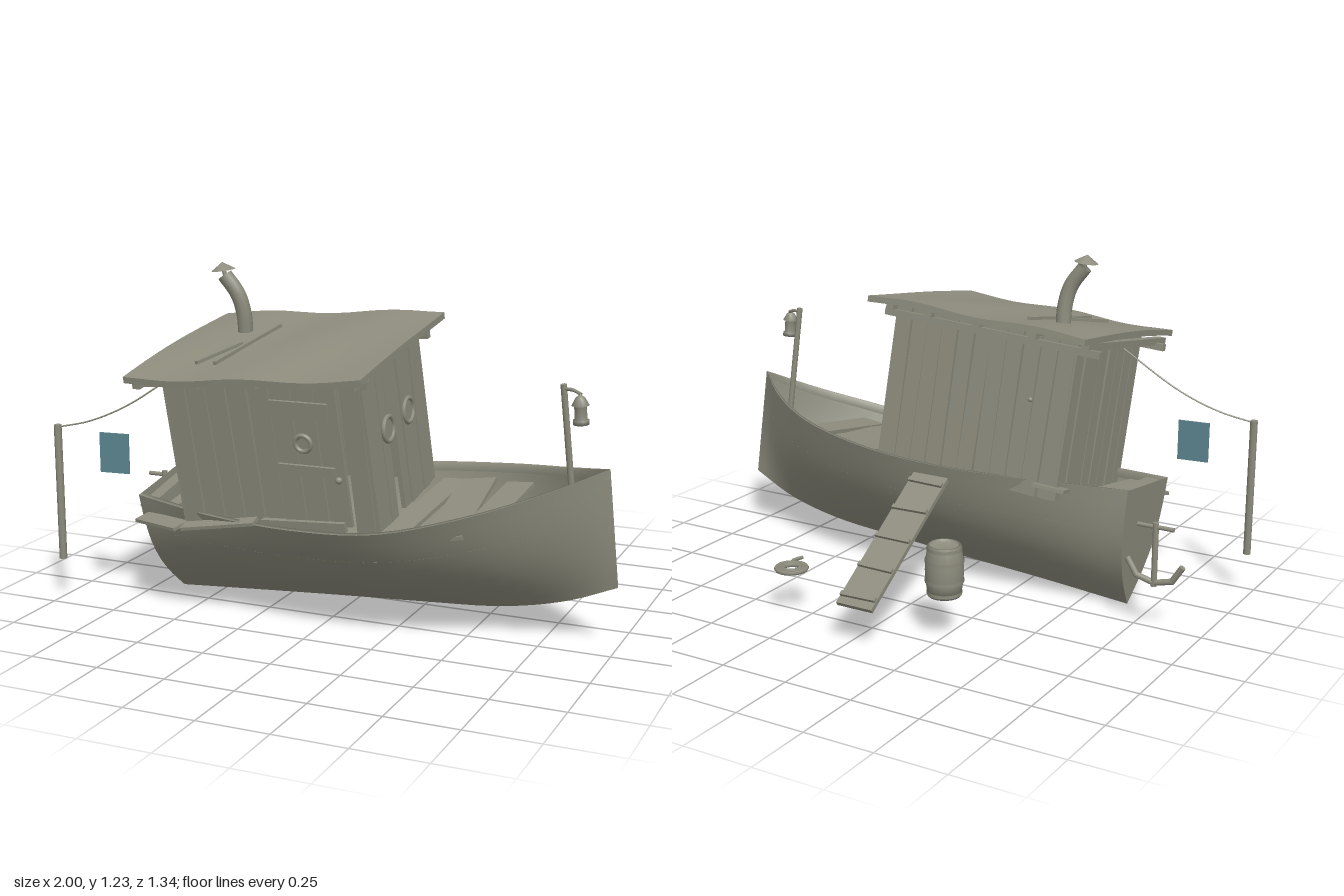
import * as THREE from 'three';

const V = (x, y, z) => new THREE.Vector3(x, y, z);

export function createModel() {
  const wood = new THREE.MeshStandardMaterial({ color: 0x8d8c7d, side: THREE.DoubleSide });
  wood.name = 'weathered grey';
  const teal = new THREE.MeshStandardMaterial({ color: 0x5c8590, side: THREE.DoubleSide });
  teal.name = 'teal cloth';
  const model = new THREE.Group();

  let seed = 7;
  const jitter = (a) => {
    seed = (seed * 16807) % 2147483647;
    return (seed / 2147483647 - 0.5) * 2 * a;
  };
  const add = (parent, name, geo, pos = [0, 0, 0], rot = [0, 0, 0], mat = wood) => {
    const m = new THREE.Mesh(geo, mat);
    m.name = name;
    m.position.set(...pos);
    m.rotation.set(...rot);
    parent.add(m);
    return m;
  };
  const box = (parent, name, size, pos, rot) => add(parent, name, new THREE.BoxGeometry(...size), pos, rot);
  const group = (parent, name, pos, rot = [0, 0, 0]) => {
    const g = new THREE.Group();
    g.name = name;
    g.position.set(...pos);
    g.rotation.set(...rot);
    parent.add(g);
    return g;
  };
  const tube = (parent, name, pts, r, sides = 8, seg = 16) =>
    add(parent, name, new THREE.TubeGeometry(new THREE.CatmullRomCurve3(pts), seg, r, sides));
  // straight rod between two points
  const rod = (parent, name, a, b, r, sides = 8) => {
    const m = add(parent, name, new THREE.CylinderGeometry(r, r, a.distanceTo(b), sides));
    m.position.copy(a).add(b).multiplyScalar(0.5);
    m.quaternion.setFromUnitVectors(V(0, 1, 0), b.clone().sub(a).normalize());
    return m;
  };
  // surface through rows of points
  const loft = (parent, name, rows) => {
    const n = rows[0].length, index = [];
    for (let i = 0; i < rows.length - 1; i++) for (let j = 0; j < n - 1; j++) {
      const a = i * n + j, b = a + n;
      index.push(a, a + 1, b, b, a + 1, b + 1);
    }
    const g = new THREE.BufferGeometry().setFromPoints(rows.flat());
    g.setIndex(index);
    g.computeVertexNormals();
    return add(parent, name, g);
  };

  // Hull: two gunwales and a keel, tilted in roll and pitch
  const hull = group(model, 'hull', [0, 0, 0]);
  const line = (pts) => new THREE.CatmullRomCurve3(pts.map((p) => V(...p)), false, 'centripetal');
  const nearEdge = line([[-0.69, 0.41, 0.40], [-0.35, 0.39, 0.48], [-0.02, 0.39, 0.53], [0.28, 0.415, 0.54],
    [0.57, 0.485, 0.46], [0.8, 0.56, 0.33], [0.97, 0.63, 0.22]]);
  const farEdge = line([[-0.70, 0.465, 0.03], [-0.35, 0.475, -0.06], [0, 0.485, -0.115], [0.28, 0.51, -0.125],
    [0.57, 0.545, -0.06], [0.8, 0.585, 0.07], [0.97, 0.63, 0.22]]);
  const keel = line([[-0.66, 0.003, 0.145], [-0.33, 0.028, 0.15], [0, 0.05, 0.15], [0.3, 0.07, 0.155],
    [0.6, 0.095, 0.16], [0.82, 0.145, 0.165], [1.0, 0.22, 0.18]]);
  const sidePoint = (edge, s, t) => {
    const p = keel.getPoint(s).lerp(edge.getPoint(s), t);
    const bulge = 0.055 * Math.sin(Math.PI * t) * (1 - s ** 4);
    return p.add(V(0, -0.45 * bulge, (edge === nearEdge ? 0.85 : -0.85) * bulge));
  };
  const N = 28, M = 10;
  const stations = Array.from({ length: N + 1 }, (_, i) => i / N);
  const steps = Array.from({ length: M + 1 }, (_, j) => j / M);
  const section = (s) => [...steps].reverse().map((t) => sidePoint(nearEdge, s, t));
  loft(hull, 'nearSide', stations.map(section));
  loft(hull, 'farSide', stations.map((s) => steps.map((t) => sidePoint(farEdge, s, t))));
  loft(hull, 'transom', steps.map((t) => [sidePoint(nearEdge, 0, t), sidePoint(farEdge, 0, t)]));
  loft(hull, 'deck', stations.map((s) => [sidePoint(nearEdge, s, 0.72), sidePoint(farEdge, s, 0.72)]));
  for (const [edge, dir] of [[nearEdge, -1], [farEdge, 1]]) {
    loft(hull, 'gunwale', stations.map((s) => {
      const p = edge.getPoint(s), w = dir * 0.02 * (1 - s ** 6);
      return [p, p.clone().add(V(0, -w * 0.16, w)), p.clone().add(V(0, -0.03, w))];
    }));
  }
  // loose deck boards and seats
  box(hull, 'bowSeat', [0.10, 0.015, 0.40], [0.59, 0.46, 0.20], [0.15, -0.06, 0.1]);
  box(hull, 'deckBoard', [0.13, 0.015, 0.50], [0.46, 0.44, 0.21], [0.15, 0.1, 0.12]);
  box(hull, 'deckBoard', [0.09, 0.015, 0.50], [0.33, 0.43, 0.21], [0.15, -0.08, 0.07]);
  box(hull, 'sternSeat', [0.05, 0.015, 0.36], [-0.65, 0.42, 0.21], [0.15, 0.06, 0.1]);
  box(hull, 'sternBoard', [0.05, 0.015, 0.38], [-0.56, 0.40, 0.21], [0.15, -0.05, 0.07]);
  box(hull, 'brokenPlank', [0.20, 0.012, 0.07], [-0.57, 0.34, 0.45], [0.2, -0.3, 0.08]);
  box(hull, 'brokenPlank', [0.28, 0.012, 0.05], [-0.32, 0.37, 0.49], [0.2, 0.06, 0.16]);
  box(hull, 'brokenPlank', [0.12, 0.012, 0.06], [-0.45, 0.46, -0.06], [0.2, 0.1, 0.07]);

  // Cabin: plank walls leaning with the hull
  const cabin = group(model, 'cabin', [-0.105, 0.43, 0.2], [0.15, 0, 0.07]);
  const wall = (name, pos, turn, from, to, count, height, broken = -1) => {
    const g = group(cabin, name, pos, [0, turn, 0]);
    const w = (to - from) / count;
    for (let i = 0; i < count; i++) {
      const h = i === broken ? 0.2 : height + jitter(0.012);
      const y = i === broken ? height - 0.16 : h / 2 - 0.03;
      box(g, 'plank', [w * 0.93, h, 0.016], [from + w * (i + 0.5), y, jitter(0.004)], [0, 0, jitter(0.014)]);
    }
  };
  wall('frontWall', [0, 0, 0.255], 0, -0.36, 0.03, 5, 0.54);
  wall('frontCornerWall', [0, 0, 0.255], 0, 0.29, 0.36, 1, 0.54);
  wall('backWall', [0, 0, -0.255], Math.PI, -0.36, 0.36, 11, 0.56);
  wall('bowWall', [0.36, 0, 0], Math.PI / 2, -0.26, 0.26, 9, 0.56, 3);
  wall('sternWall', [-0.36, 0, 0], -Math.PI / 2, -0.26, 0.26, 8, 0.56);
  for (const x of [-0.345, 0.345]) for (const z of [-0.24, 0.24])
    box(cabin, 'cornerPost', [0.022, 0.56, 0.022], [x, 0.25, z]);

  // Door with straps and knob
  const door = group(cabin, 'door', [0.155, 0.25, 0.262]);
  for (let i = 0; i < 3; i++)
    box(door, 'doorBoard', [0.078, 0.51 + jitter(0.01), 0.016], [(i - 1) * 0.082, 0, 0], [0, 0, jitter(0.008)]);
  box(door, 'upperStrap', [0.21, 0.06, 0.012], [-0.015, 0.16, 0.013], [0, 0, -0.06]);
  box(door, 'lowerStrap', [0.21, 0.035, 0.012], [-0.015, -0.05, 0.013], [0, 0, -0.06]);
  add(door, 'knob', new THREE.SphereGeometry(0.012, 10, 8), [0.1, -0.08, 0.018]);
  box(cabin, 'doorStep', [0.31, 0.035, 0.02], [0.1, 0.0, 0.275]);

  // Portholes
  const porthole = (parent, pos, turn, r) => {
    const g = group(parent, 'porthole', pos, [0, turn, 0]);
    add(g, 'frame', new THREE.TorusGeometry(r, 0.008, 8, 24));
    add(g, 'pane', new THREE.CircleGeometry(r, 24));
  };
  porthole(cabin, [0.14, 0.295, 0.275], 0, 0.028);
  porthole(cabin, [0.373, 0.288, 0.10], Math.PI / 2, 0.042);
  porthole(cabin, [0.373, 0.29, -0.08], Math.PI / 2, 0.042);
  porthole(cabin, [-0.22, 0.30, -0.266], 0, 0.001);

  // Roof: rafters, eave beams and a slightly warped sheet
  for (const x of [-0.41, -0.2, 0.02, 0.22, 0.375])
    box(cabin, 'rafter', [0.03, 0.025, 0.64], [x, 0.518, 0.03], [0.01, jitter(0.02), 0]);
  for (const z of [-0.27, 0.27]) box(cabin, 'eaveBeam', [0.86, 0.025, 0.025], [-0.03, 0.5, z]);
  const roofGeo = new THREE.BoxGeometry(0.865, 0.022, 0.745, 14, 1, 10);
  const rp = roofGeo.attributes.position;
  for (let i = 0; i < rp.count; i++) {
    const x = rp.getX(i), z = rp.getZ(i);
    rp.setY(i, rp.getY(i) + 0.006 * Math.sin(x * 13 + z * 4) + 0.006 * Math.cos(z * 5));
    rp.setZ(i, z + (z > 0.3 ? 0.012 * (1 - (x / 0.43) ** 2) : 0));
  }
  roofGeo.computeVertexNormals();
  const roof = group(model, 'roof', [-0.147, 0.966, 0.292], [0.16, 0, 0.068]);
  add(roof, 'roofSheet', roofGeo);
  box(roof, 'roofPatch', [0.012, 0.012, 0.42], [-0.14, 0.016, 0.02], [0, -0.1, 0]);
  box(roof, 'roofPatch', [0.012, 0.012, 0.22], [-0.2, 0.016, 0.12], [0, -0.3, 0]);

  // Chimney
  const chimney = group(model, 'chimney', [0, 0, 0]);
  tube(chimney, 'pipe', [V(-0.37, 0.95, 0.17), V(-0.372, 1.05, 0.18), V(-0.39, 1.12, 0.19), V(-0.435, 1.185, 0.2)], 0.027, 10);
  rod(chimney, 'capStem', V(-0.43, 1.17, 0.2), V(-0.442, 1.22, 0.2), 0.008);
  add(chimney, 'cap', new THREE.ConeGeometry(0.043, 0.028, 12), [-0.442, 1.216, 0.2], [0.05, 0, 0.12]);

  // Bow lantern on a post
  const lantern = group(model, 'bowLantern', [0, 0, 0]);
  rod(lantern, 'post', V(0.842, 0.5, 0.2), V(0.81, 0.9, 0.235), 0.011);
  tube(lantern, 'bracket', [V(0.81, 0.885, 0.235), V(0.845, 0.885, 0.245), V(0.875, 0.875, 0.255)], 0.006, 6);
  add(lantern, 'lamp', new THREE.LatheGeometry([[0, 0], [0.027, 0], [0.027, 0.015], [0.021, 0.018], [0.021, 0.06],
    [0.029, 0.063], [0.016, 0.088], [0.006, 0.095], [0, 0.1]].map((p) => new THREE.Vector2(...p)), 12),
    [0.878, 0.778, 0.257], [0.05, 0, 0.05]);

  // Mooring pole, line and hanging cloth
  rod(model, 'mooringPole', V(-0.983, 0.155, 0.455), V(-0.983, 0.652, 0.455), 0.014);
  tube(model, 'mooringLine', [V(-0.975, 0.645, 0.455), V(-0.86, 0.672, 0.435), V(-0.72, 0.735, 0.405), V(-0.5, 0.885, 0.36)], 0.003, 5, 24);
  add(model, 'cloth', new THREE.BoxGeometry(0.113, 0.145, 0.005), [-0.778, 0.557, 0.41], [0, 0.1, 0], teal);

  // Anchor
  const anchor = group(model, 'anchor', [-0.827, 0, -0.015]);
  rod(anchor, 'shank', V(0, 0.16, 0), V(0, 0.388, 0), 0.011);
  rod(anchor, 'stock', V(-0.066, 0.373, 0), V(0.066, 0.373, 0), 0.008);
  for (const s of [-1, 1]) {
    rod(anchor, 'innerArm', V(0, 0.172, 0), V(s * 0.068, 0.19, 0), 0.011);
    rod(anchor, 'outerArm', V(s * 0.064, 0.187, 0), V(s * 0.102, 0.247, 0), 0.011);
  }

  // Barrel
  const barrel = group(model, 'barrel', [-0.25, 0.155, -0.435]);
  add(barrel, 'staves', new THREE.LatheGeometry([[0, 0], [0.056, 0], [0.063, 0.045], [0.066, 0.09], [0.063, 0.135],
    [0.056, 0.18], [0.05, 0.18], [0.05, 0.168], [0, 0.168]].map((p) => new THREE.Vector2(...p)), 18));
  for (const [y, r] of [[0.012, 0.06], [0.055, 0.067], [0.125, 0.067], [0.168, 0.06]])
    add(barrel, 'hoop', new THREE.CylinderGeometry(r, r, 0.012, 18, 1, true), [0, y, 0]);

  // Coiled rope
  const coil = group(model, 'ropeCoil', [0.325, 0.163, -0.515]);
  for (const r of [0.03, 0.042, 0.053])
    add(coil, 'loop', new THREE.TorusGeometry(r, 0.008, 6, 24), [0, 0, 0], [Math.PI / 2, 0, 0]);
  tube(coil, 'ropeEnd', [V(0.03, 0, 0.04), V(0.038, 0, 0.07), V(0.03, -0.001, 0.105)], 0.007, 6);

  // Gangplank with cleats
  const plank = group(model, 'gangplank', [-0.04, 0.305, -0.42], [-0.578, 0, 0]);
  box(plank, 'board', [0.14, 0.016, 0.585], [0, 0, 0]);
  for (const z of [-0.255, -0.13, 0.0, 0.13, 0.255])
    box(plank, 'cleat', [0.136, 0.012, 0.016], [0, 0.013, z], [0, jitter(0.03), 0]);

  return model;
}
